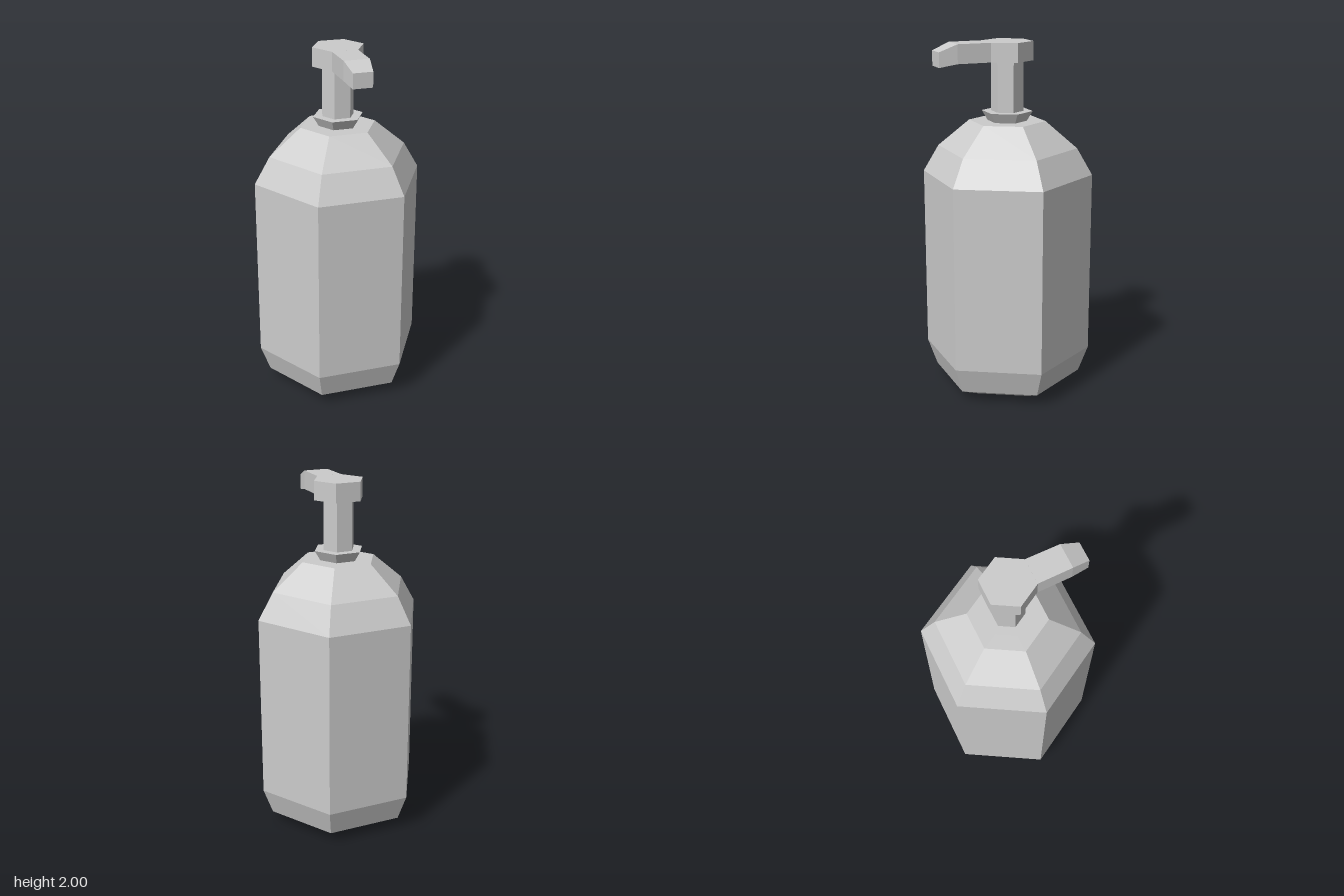
import * as THREE from 'three';

const material = new THREE.MeshStandardMaterial({ color: 0xcccccc, flatShading: true });

function addMesh(parent, name, geometry) {
  const mesh = new THREE.Mesh(geometry, material);
  mesh.name = name;
  parent.add(mesh);
  return mesh;
}

// Six-sided turned part with corners on the x axis; profile is [radius, y] from bottom to top
function hexLathe(profile) {
  const points = profile.map(([r, y]) => new THREE.Vector2(r, y));
  return new THREE.LatheGeometry(points, 6, Math.PI / 2);
}

// Spout: a box split in two along z, its rings reshaped into a drooping, tapered tip
function spoutGeometry() {
  const rings = [
    { z: 0.125, halfWidth: 0.0715, bottom: 1.895, top: 2.0 },
    { z: 0.315, halfWidth: 0.07, bottom: 1.895, top: 2.0 },
    { z: 0.415, halfWidth: 0.054, bottom: 1.878, top: 1.96 },
  ];
  const geometry = new THREE.BoxGeometry(2, 2, 2, 1, 1, 2);
  const pos = geometry.attributes.position;
  for (let i = 0; i < pos.count; i++) {
    const ring = rings[Math.round(pos.getZ(i)) + 1];
    pos.setXYZ(i, pos.getX(i) * ring.halfWidth, pos.getY(i) > 0 ? ring.top : ring.bottom, ring.z);
  }
  geometry.computeVertexNormals();
  return geometry;
}

export function createModel() {
  const model = new THREE.Group();
  model.name = 'pumpBottle';

  // Bottle with chamfered base and sloping shoulders
  addMesh(model, 'bottle', hexLathe([
    [0, 0], [0.29, 0], [0.425, 0.065], [0.48, 0.215],
    [0.48, 1.26], [0.393, 1.41], [0.215, 1.56], [0, 1.56],
  ]));

  // Pump: flared collar, stem, head and spout
  const pump = new THREE.Group();
  pump.name = 'pump';
  model.add(pump);
  addMesh(pump, 'collar', hexLathe([[0.11, 1.56], [0.143, 1.615], [0, 1.615]]));
  addMesh(pump, 'stem', hexLathe([[0.09, 1.615], [0.09, 1.895]]));
  addMesh(pump, 'pumpHead', hexLathe([[0, 1.895], [0.144, 1.895], [0.144, 2], [0, 2]]));
  addMesh(pump, 'spout', spoutGeometry());

  return model;
}
